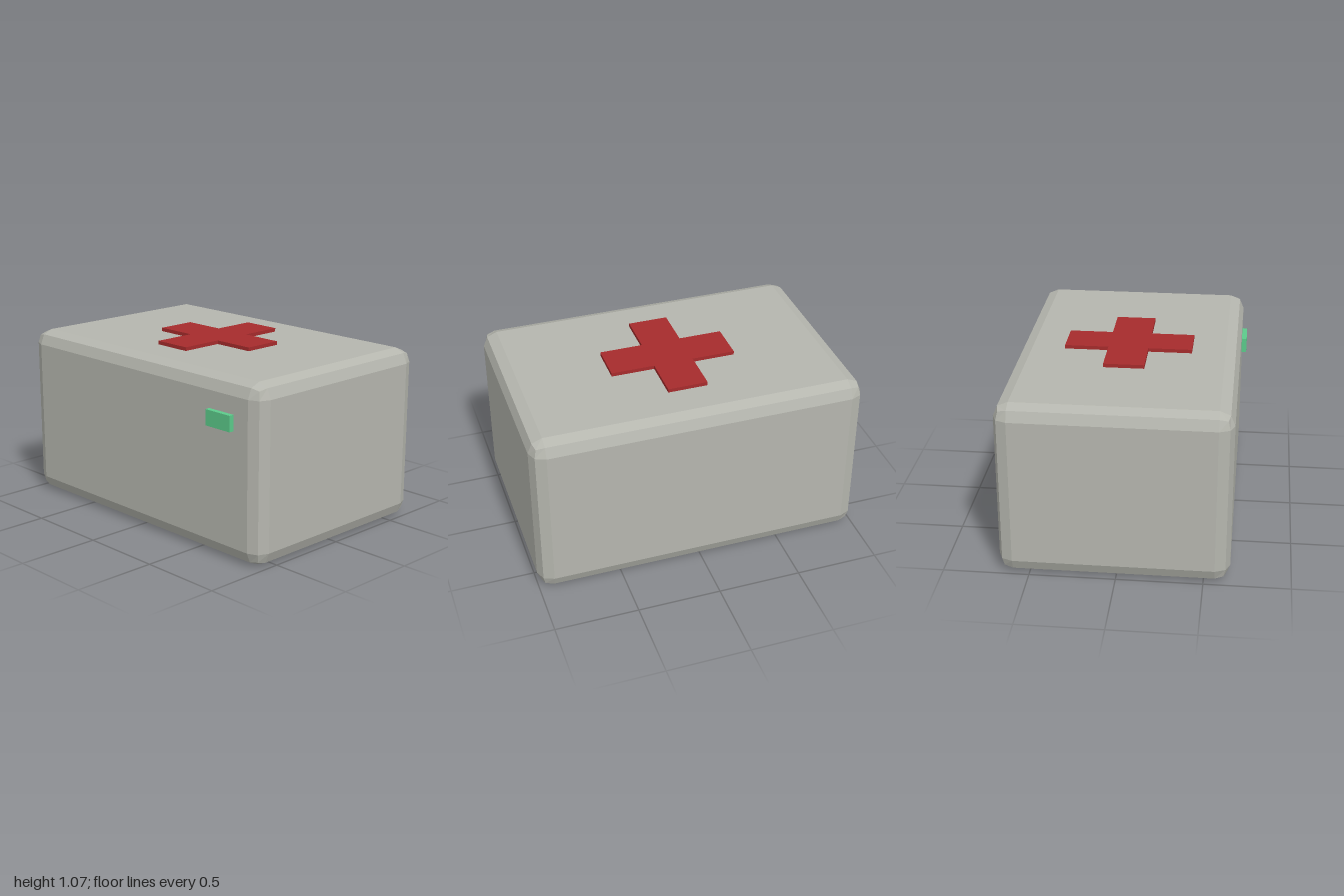
import * as THREE from 'three';
import { RoundedBoxGeometry } from 'three/addons/geometries/RoundedBoxGeometry.js';

const mat = (name, color) => {
  const m = new THREE.MeshStandardMaterial({ color });
  m.name = name;
  return m;
};

export function createModel() {
  const caseGrey = mat('caseGrey', 0xb5b6ae);
  const crossRed = mat('crossRed', 0xa62b2c);
  const latchGreen = mat('latchGreen', 0x5ccb8b);

  const group = new THREE.Group();
  group.name = 'firstAidBox';
  const midZ = -0.016;

  const add = (name, geometry, material, x, y, z) => {
    const mesh = new THREE.Mesh(geometry, material);
    mesh.name = name;
    mesh.position.set(x, y, z);
    group.add(mesh);
  };

  // Case: box with a two-facet bevel, one flat normal per face
  const body = new RoundedBoxGeometry(2, 1.048, 1.332, 1, 0.086);
  body.computeVertexNormals();
  add('case', body, caseGrey, 0, 0.524, midZ);

  // Raised cross on the lid, one outline made of four equal quarters
  const a = 0.12, r = 0.381;
  const shape = new THREE.Shape();
  const quarter = [[r, -a], [r, a], [a, a]];
  const points = [];
  for (let i = 0; i < 4; i++) {
    for (const [x, y] of quarter) {
      points.push(new THREE.Vector2(x, y).rotateAround(new THREE.Vector2(), i * Math.PI / 2));
    }
  }
  shape.setFromPoints(points);
  const cross = new THREE.ExtrudeGeometry(shape, { depth: 0.032, bevelEnabled: false });
  cross.rotateX(-Math.PI / 2);
  add('cross', cross, crossRed, 0, 1.038, midZ);

  // Small latch on the front, at the upper left of the case
  add('latch', new THREE.BoxGeometry(0.188, 0.093, 0.05), latchGreen, 0.712, 0.812, 0.656);

  return group;
}
